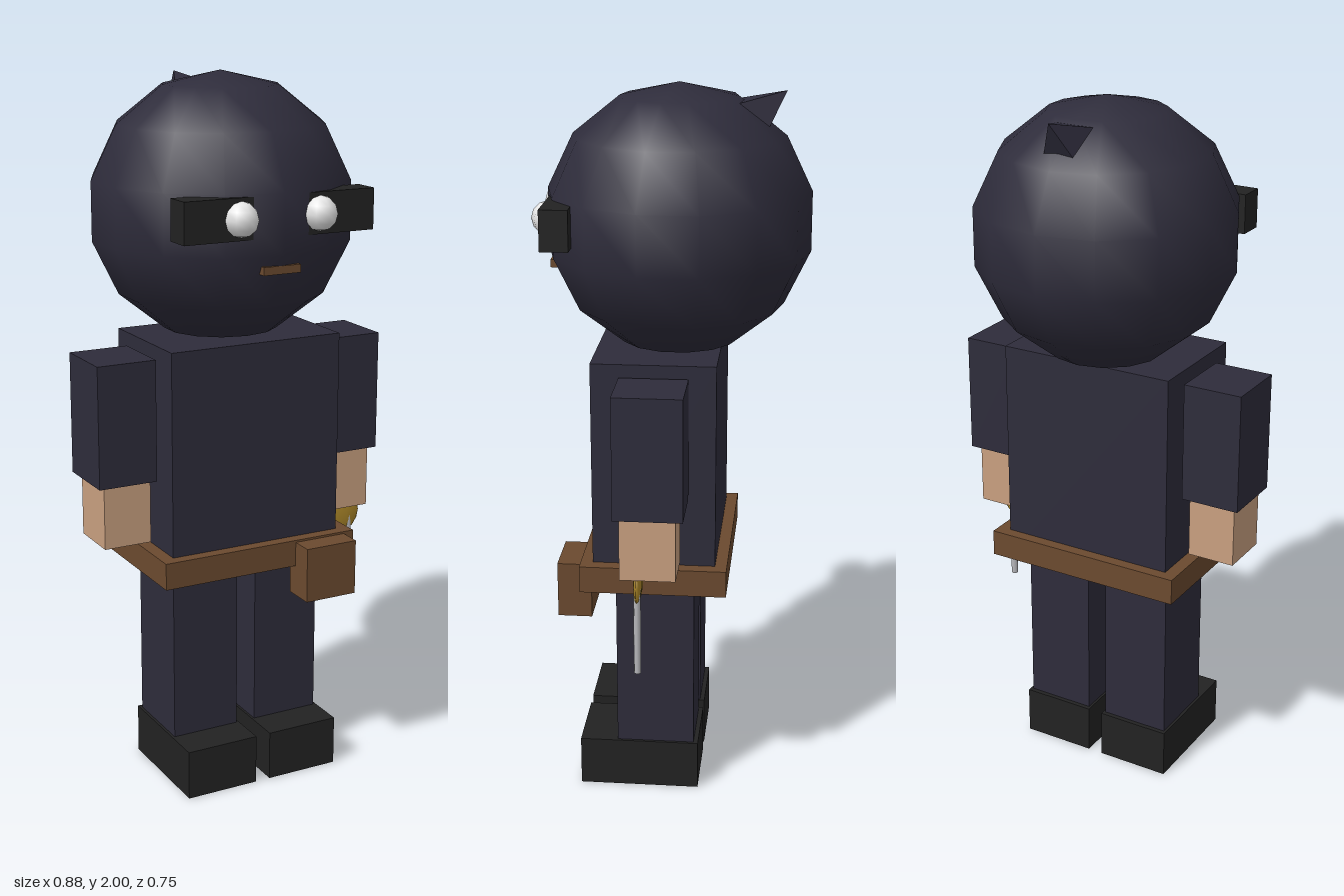
import * as THREE from 'three';

const material = (name, color) => {
  const m = new THREE.MeshStandardMaterial({ color });
  m.name = name;
  return m;
};

export function createModel() {
  const cloth = material('dark navy cloth', 0x2e2c3b);
  const skin = material('skin', 0xc9a080);
  const leather = material('brown leather', 0x6b4a2f);
  const black = material('black', 0x222222);
  const white = material('eye white', 0xe8e8e8);
  const gold = material('gold', 0xb08a2a);
  const steel = material('steel', 0xb8b8bc);

  const model = new THREE.Group();
  model.name = 'maskedFigure';

  const add = (name, geometry, mat, x = 0, y = 0, z = 0) => {
    const mesh = new THREE.Mesh(geometry, mat);
    mesh.name = name;
    mesh.position.set(x, y, z);
    model.add(mesh);
    return mesh;
  };
  // Box given by its lower and upper limits on each axis
  const box = (name, mat, [x0, x1], [y0, y1], [z0, z1]) =>
    add(name, new THREE.BoxGeometry(x1 - x0, y1 - y0, z1 - z0), mat,
      (x0 + x1) / 2, (y0 + y1) / 2, (z0 + z1) / 2);
  // The same box on both sides of the body
  const pair = (name, mat, [x0, x1], y, z) => {
    box('left' + name, mat, [x0, x1], y, z);
    box('right' + name, mat, [-x1, -x0], y, z);
  };

  // Body and limbs
  box('torso', cloth, [-0.259, 0.259], [0.632, 1.289], [-0.137, 0.203]);
  pair('Sleeve', cloth, [0.268, 0.439], [0.913, 1.255], [-0.063, 0.125]);
  pair('Hand', skin, [0.282, 0.42], [0.735, 0.914], [-0.042, 0.11]);
  pair('Leg', cloth, [0.029, 0.23], [0.14, 0.64], [-0.077, 0.143]);
  pair('Shoe', black, [0.022, 0.238], [0, 0.143], [-0.09, 0.25]);

  // Belt and pouch
  box('belt', leather, [-0.297, 0.297], [0.638, 0.714], [-0.17, 0.237]);
  box('pouch', leather, [0.108, 0.266], [0.55, 0.708], [0.207, 0.302]);

  // Hooded head
  const headGeometry = new THREE.SphereGeometry(0.37, 14, 7).rotateY(Math.PI / 2);
  add('head', headGeometry, cloth, 0, 1.63, -0.015);

  // Pointed knot at the back of the hood, tip up and backward
  const knotLength = 0.16;
  const knotGeometry = new THREE.ConeGeometry(0.108, knotLength, 4, 1, false, Math.PI / 4)
    .toNonIndexed();
  knotGeometry.computeVertexNormals();
  knotGeometry.translate(0, -knotLength / 2, 0);
  add('hoodKnot', knotGeometry, cloth, 0, 1.98, -0.302).rotation.x = -0.9;

  // Face
  box('mask', black, [-0.281, 0.281], [1.595, 1.706], [0.25, 0.327]);
  for (const [name, side] of [['leftEye', 1], ['rightEye', -1]]) {
    add(name, new THREE.SphereGeometry(0.047, 8, 6), white, side * 0.117, 1.65, 0.327);
  }
  box('mouth', leather, [-0.055, 0.055], [1.5, 1.522], [0.3, 0.335]);

  // Short blade with a flat round guard, under the left hand
  add('guard', new THREE.SphereGeometry(0.066, 10, 8), gold, 0.355, 0.707, 0.066).scale.z = 0.18;
  add('blade', new THREE.CylinderGeometry(0.01, 0.01, 0.252, 8), steel, 0.385, 0.569, 0.066);

  return model;
}
